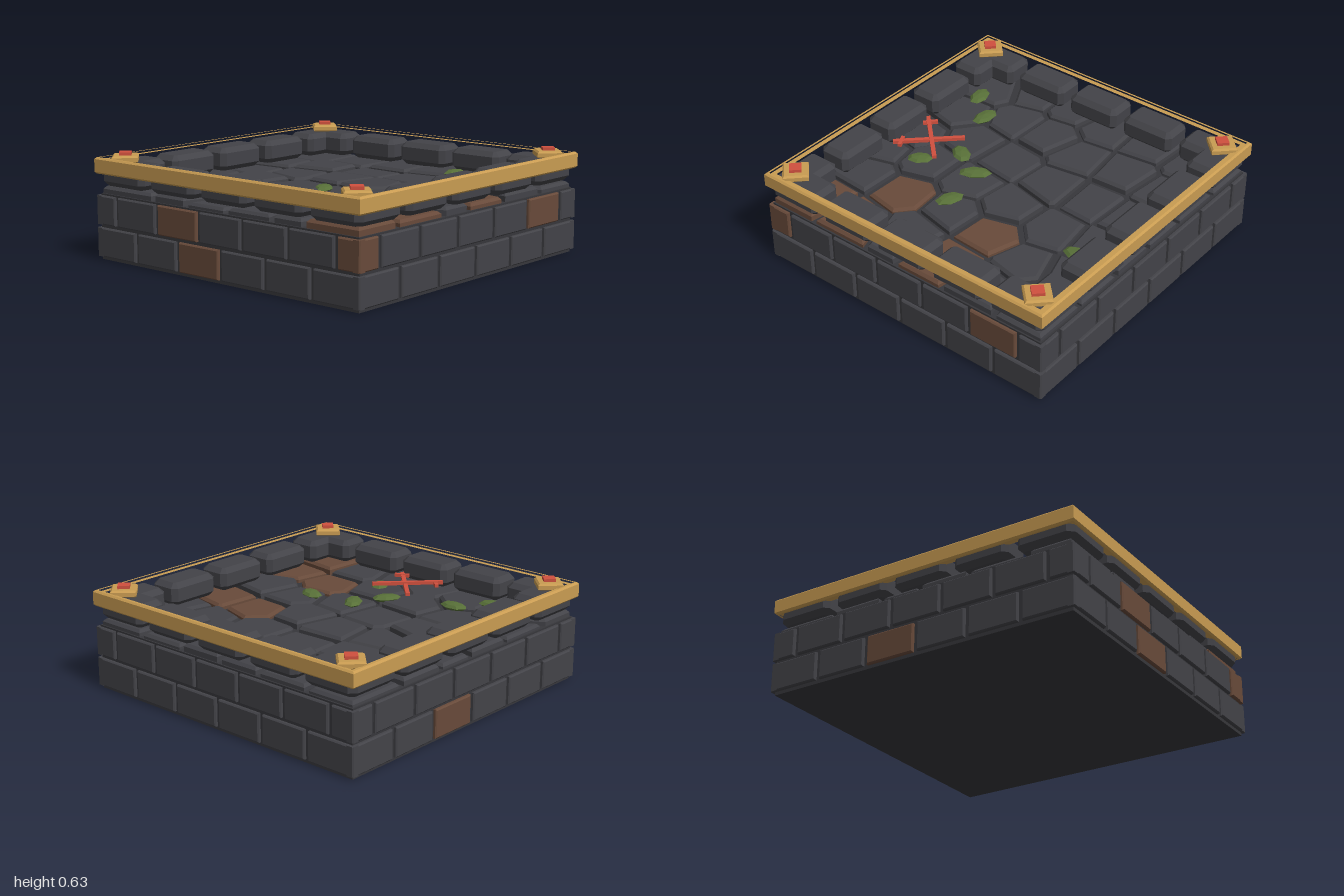
import * as THREE from 'three';

const mat = (name, color) => {
  const m = new THREE.MeshStandardMaterial({ color });
  m.name = name;
  return m;
};

// Horizontal slab from an outline of [x, z] points, chamfered by b, from y0 to y1
function slab(points, y0, y1, b, hole) {
  const toV = ([x, z]) => new THREE.Vector2(x, -z);
  const shape = new THREE.Shape(points.map(toV));
  if (hole) shape.holes.push(new THREE.Path(hole.map(toV)));
  const geo = new THREE.ExtrudeGeometry(shape, {
    depth: y1 - y0 - 2 * b, bevelEnabled: b > 0, bevelThickness: b, bevelSize: b, bevelSegments: 1,
  });
  return geo.rotateX(-Math.PI / 2).translate(0, y0 + b, 0);
}

// Rectangle outline with half sizes w, d and cut corners c
const rect = (w, d, c = 0) => c
  ? [[w, d - c], [w - c, d], [c - w, d], [-w, d - c], [-w, c - d], [c - w, -d], [w - c, -d], [w, c - d]]
  : [[w, d], [-w, d], [-w, -d], [w, -d]];
const diamond = (r) => [[r, 0], [0, r], [-r, 0], [0, -r]];

// Keep the side of the polygon where (p - m) . n <= -inset
function clip(poly, mx, mz, nx, nz, inset) {
  const dist = (p) => (p[0] - mx) * nx + (p[1] - mz) * nz + inset;
  const out = [];
  poly.forEach((a, i) => {
    const b = poly[(i + 1) % poly.length];
    const da = dist(a), db = dist(b);
    if (da <= 0) out.push(a);
    if (da * db < 0) {
      const t = da / (da - db);
      out.push([a[0] + (b[0] - a[0]) * t, a[1] + (b[1] - a[1]) * t]);
    }
  });
  return out;
}

export function createModel() {
  const root = new THREE.Group();
  root.name = 'stoneFloorTile';
  const stone = mat('dark stone', 0x434348);
  const mortar = mat('mortar', 0x37373b);
  const brown = mat('brown stone', 0x684a3a);
  const gold = mat('gold', 0xc99c52);
  const red = mat('red', 0xd0503e);
  const green = mat('moss green', 0x587038);

  const add = (name, geo, material, parent = root) => {
    const m = new THREE.Mesh(geo, material);
    m.name = name;
    parent.add(m);
    return m;
  };
  const group = (name, parent = root) => {
    const g = new THREE.Group();
    g.name = name;
    parent.add(g);
    return g;
  };

  // Core of the base
  add('core', new THREE.BoxGeometry(1.95, 0.39, 1.95).translate(0, 0.195, 0), mortar);

  // Four brick walls, two courses each; u runs to the right as seen from outside
  const brownBricks = [['0-2', '1-2', '1-6'], ['1-0', '1-5'], [], ['0-2']];
  for (let side = 0; side < 4; side++) {
    const wall = group('brickWall');
    wall.rotation.y = side * Math.PI / 2;
    for (let row = 0; row < 2; row++) {
      for (let k = 0; k < 6 + row; k++) {
        const u = -0.995 + 0.332 * (k - row / 2);
        const a = Math.max(-0.995, u + (k ? 0.013 : 0));
        const b = Math.min(0.995, u + 0.319 + (k === 5 + row ? 0.013 : 0));
        const c = 0.007;
        const geo = slab(rect((b - a) / 2 - c, 0.085 - c), 0, 0.05, c);
        geo.rotateX(Math.PI / 2).translate((a + b) / 2, 0.105 + row * 0.19, 0.945);
        add('brick', geo, brownBricks[side].includes(`${row}-${k}`) ? brown : stone, wall);
      }
    }
  }

  // Paving: each stone is the cell around its centre, shrunk to leave joints
  const centres = [
    [-0.8, -0.72], [-0.47, -0.74], [-0.14, -0.73], [0.16, -0.75], [0.47, -0.78], [0.76, -0.76],
    [-0.82, -0.42], [-0.5, -0.46], [-0.15, -0.48], [0.2, -0.46], [0.55, -0.53], [0.83, -0.47],
    [-0.8, -0.1], [-0.46, -0.14], [-0.14, -0.19], [0.17, -0.12], [0.45, -0.2], [0.77, -0.18],
    [-0.86, 0.17], [-0.53, 0.12], [-0.17, 0.16], [0.13, 0.2], [0.43, 0.1], [0.7, 0.16],
    [-0.85, 0.48], [-0.54, 0.4], [-0.2, 0.46], [0.13, 0.53], [0.46, 0.43], [0.8, 0.49],
    [-0.72, 0.72], [-0.4, 0.7], [-0.06, 0.78], [0.18, 0.83], [0.45, 0.75], [0.76, 0.77],
  ];
  const brownStones = [16, 17, 28, 29, 35];
  const paving = group('paving');
  const bevel = 0.016;
  centres.forEach(([x, z], i) => {
    let cell = rect(0.95, 0.95);
    centres.forEach(([ox, oz], j) => {
      const d = Math.hypot(ox - x, oz - z);
      if (j !== i) cell = clip(cell, (x + ox) / 2, (z + oz) / 2, (ox - x) / d, (oz - z) / d, 0.018 + bevel);
    });
    const top = 0.42 + 0.006 * ((i * 5) % 4);
    add('pavingStone', slab(cell, 0.37, top, bevel), brownStones.includes(i) ? brown : stone, paving);
  });

  // Chamfered rim blocks, five along each side
  const rim = group('rim');
  const blockGeo = slab(rect(0.142, 0.072, 0.012), 0.435, 0.575, 0.03);
  for (let side = 0; side < 4; side++) {
    const row = group('rimRow', rim);
    row.rotation.y = side * Math.PI / 2;
    for (let k = -2; k <= 2; k++) {
      add('rimBlock', blockGeo, stone, row).position.set(k * 0.4, 0, 0.878);
    }
  }

  // Gold frame with a lower inner lip
  add('frame', slab(rect(0.99, 0.99), 0.505, 0.6, 0.01, rect(0.978, 0.978)), gold);
  add('frameLip', slab(rect(0.98, 0.98), 0.51, 0.588, 0, rect(0.95, 0.95)), gold);

  // Corner diamonds with red gems
  for (const sx of [-1, 1]) for (const sz of [-1, 1]) {
    const corner = group('cornerOrnament');
    corner.position.set(sx * 0.873, 0, sz * 0.873);
    add('goldPlate', slab(diamond(0.092), 0.57, 0.614, 0.01), gold, corner);
    add('redGem', slab(diamond(0.05), 0.6, 0.632, 0), red, corner);
  }

  // Red crossed bars with short crosspieces at the front ends
  const cross = group('redCross');
  const bar = (x0, z0, x1, z1, w, y) => {
    const m = add('redBar', new THREE.BoxGeometry(Math.hypot(x1 - x0, z1 - z0), 0.02, w), red, cross);
    m.position.set((x0 + x1) / 2, y, (z0 + z1) / 2);
    m.rotation.y = -Math.atan2(z1 - z0, x1 - x0);
  };
  bar(-0.14, 0.47, 0.16, 0.78, 0.026, 0.465);
  bar(0.14, 0.47, -0.16, 0.78, 0.026, 0.475);
  bar(-0.17, 0.71, -0.1, 0.77, 0.022, 0.468);
  bar(0.09, 0.76, 0.17, 0.72, 0.022, 0.468);

  // Moss tufts: x, z, heading, half length
  const mossGeo = new THREE.SphereGeometry(1, 7, 4).toNonIndexed();
  mossGeo.computeVertexNormals();
  [
    [0.315, -0.71, 1.57, 0.085], [0.07, 0.215, 0.98, 0.1], [0.36, 0.165, 0.4, 0.09], [-0.03, 0.405, -0.95, 0.09],
    [-0.425, 0.55, 0.06, 0.095], [-0.585, 0.725, -0.25, 0.095], [0.16, 0.565, 0.95, 0.08],
  ].forEach(([x, z, angle, len]) => {
    const m = add('mossTuft', mossGeo, green);
    m.position.set(x, 0.437, z);
    m.rotation.y = -angle;
    m.scale.set(len, 0.022, 0.055);
  });

  return root;
}
